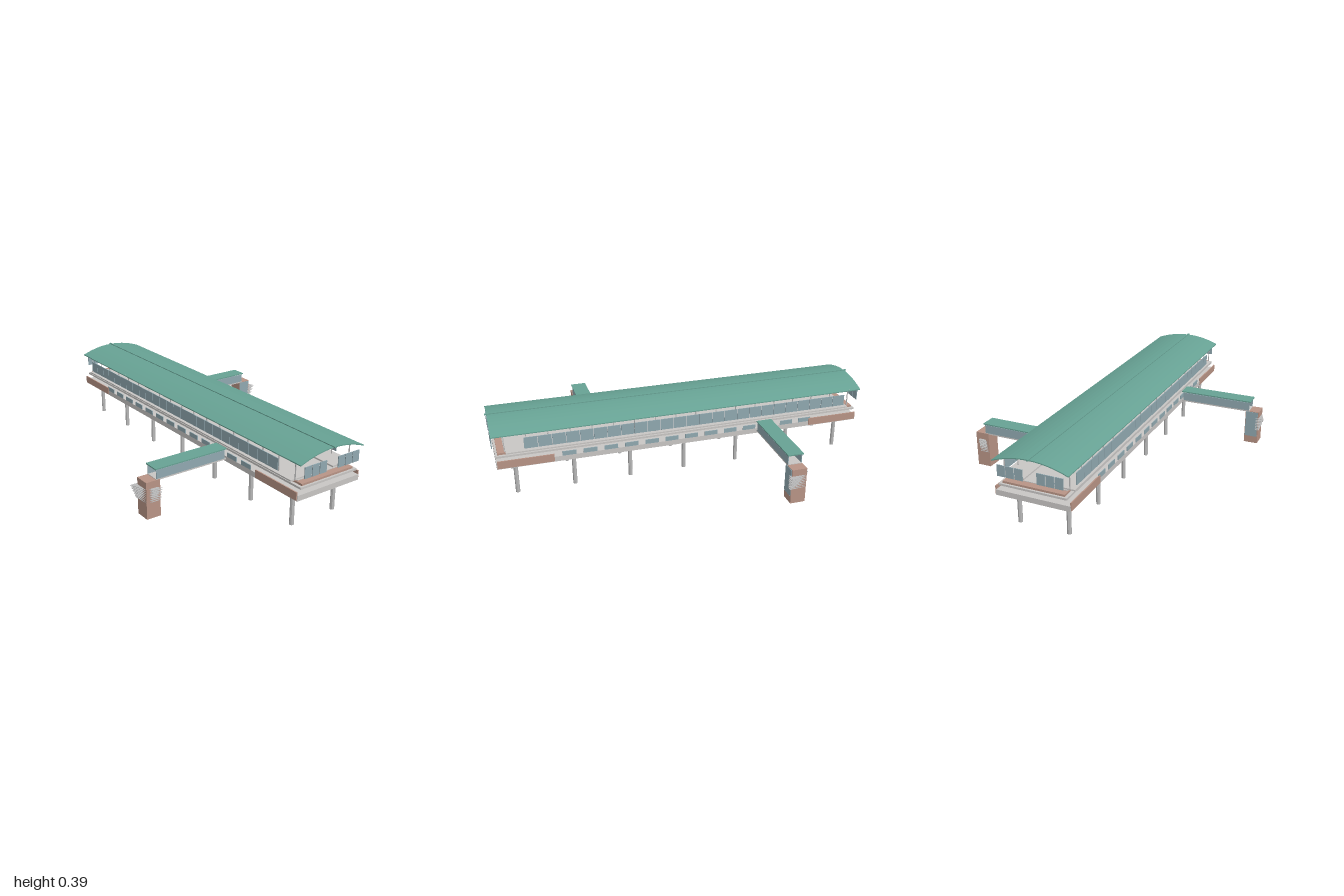
import * as THREE from 'three';

const mat = (name, color) => {
  const m = new THREE.MeshStandardMaterial({ color, side: THREE.DoubleSide, flatShading: true });
  m.name = name;
  return m;
};

export function createModel() {
  const model = new THREE.Group();
  model.name = 'elevatedStation';
  const green = mat('roofGreen', 0x67a294);
  const concrete = mat('concrete', 0xc8c6c4);
  const steel = mat('columnGrey', 0xb9b9b9);
  const brick = mat('brick', 0xb89486);
  const glass = mat('glass', 0x90a8b0);

  // Box given by its min and max corners
  const box = (parent, name, m, x0, x1, y0, y1, z0, z1) => {
    const mesh = new THREE.Mesh(new THREE.BoxGeometry(x1 - x0, y1 - y0, z1 - z0), m);
    mesh.position.set((x0 + x1) / 2, (y0 + y1) / 2, (z0 + z1) / 2);
    mesh.name = name;
    parent.add(mesh);
    return mesh;
  };
  // Thin bar between two points in the x-y plane
  const strut = (parent, name, m, x0, y0, x1, y1, z) => {
    const mesh = new THREE.Mesh(new THREE.BoxGeometry(Math.hypot(x1 - x0, y1 - y0), 0.003, 0.003), m);
    mesh.position.set((x0 + x1) / 2, (y0 + y1) / 2, z);
    mesh.rotation.z = Math.atan2(y1 - y0, x1 - x0);
    mesh.name = name;
    parent.add(mesh);
  };

  // Arched roof shell
  const roofY = (x) => 0.39 - 0.038 * (x / 0.19) ** 2;
  const section = new THREE.Shape();
  const steps = 14;
  for (let i = 0; i <= steps; i++) {
    const x = -0.19 + (0.38 * i) / steps;
    if (i) section.lineTo(x, roofY(x));
    else section.moveTo(x, roofY(x));
  }
  for (let i = steps; i >= 0; i--) {
    const x = -0.19 + (0.38 * i) / steps;
    section.lineTo(x, roofY(x) - 0.005);
  }
  const roof = new THREE.Mesh(new THREE.ExtrudeGeometry(section, { depth: 1.98, bevelEnabled: false }), green);
  roof.position.z = -0.99;
  roof.name = 'archedRoof';
  model.add(roof);
  box(model, 'roofRidge', green, -0.004, 0.004, 0.388, 0.394, -1, 1);

  // Roof frames: posts, tie beam and struts
  const frames = new THREE.Group();
  frames.name = 'roofFrames';
  model.add(frames);
  for (let i = 0; i < 18; i++) {
    const z = -0.93 + i * (1.86 / 17);
    box(frames, 'tieBeam', steel, -0.185, 0.185, 0.35, 0.354, z - 0.002, z + 0.002);
    for (const s of [-1, 1]) {
      box(frames, 'post', steel, s * 0.163 - 0.002, s * 0.163 + 0.002, 0.253, roofY(0.163) - 0.003, z - 0.002, z + 0.002);
      strut(frames, 'strut', steel, s * 0.1, 0.352, s * 0.11, 0.375, z);
      strut(frames, 'strut', steel, s * 0.045, 0.352, s * 0.052, 0.384, z);
    }
  }

  // Lower deck, track slab and side platforms
  box(model, 'lowerDeck', concrete, -0.187, 0.187, 0.173, 0.2, -0.975, 0.975);
  box(model, 'upperSlab', concrete, -0.17, 0.17, 0.225, 0.235, -0.975, 0.975);
  box(model, 'trackBed', brick, -0.155, 0.155, 0.235, 0.245, -0.965, 0.965);
  box(model, 'trackFloor', concrete, -0.15, 0.15, 0.245, 0.248, -0.93, 0.93);
  for (const s of [-1, 1]) {
    const p = box(model, 'sidePlatform', concrete, -0.0575, 0.0575, 0.248, 0.255, -0.925, 0.925);
    p.position.x = s * 0.127;
  }

  for (const s of [-1, 1]) {
    // Platform windows along the sides
    const pitch = 1.738 / 25;
    for (let i = 0; i < 25; i++) {
      const z = 0.834 - i * pitch;
      box(model, 'sideWindow', glass, s * 0.18 - 0.002, s * 0.18 + 0.002, 0.266, 0.325, z - pitch + 0.003, z);
    }
    // Small windows of the lower level
    for (let i = 0; i < 13; i++) {
      const z = 0.652 - i * 0.107;
      box(model, 'smallWindow', glass, s * 0.185 - 0.002, s * 0.185 + 0.002, 0.2, 0.223, z - 0.07, z);
    }
    // Brick parapets at both ends
    for (const e of [-1, 1]) {
      const p = box(model, 'brickParapet', brick, -0.003, 0.003, 0.177, 0.217, -0.14, 0.14);
      p.position.x = s * 0.188;
      p.position.z = e * 0.832;
      // Glass screens under the roof ends
      for (let i = 0; i < 3; i++) {
        const w = box(model, 'endWindow', glass, -0.02, 0.02, 0.28, 0.335, -0.002, 0.002);
        w.position.x = s * (0.055 + i * 0.0445);
        w.position.z = e * 0.988;
      }
    }
  }

  // Columns with cross beams
  for (let i = -3; i <= 3; i++) {
    const z = i * 0.294;
    box(model, 'crossBeam', steel, -0.165, 0.165, 0.162, 0.173, z - 0.01, z + 0.01);
    for (const s of [-1, 1]) {
      const c = new THREE.Mesh(new THREE.CylinderGeometry(0.011, 0.011, 0.163, 8), steel);
      c.position.set(s * 0.127, 0.0815, z);
      c.name = 'column';
      model.add(c);
    }
  }

  // Horizontal triangular plate
  const plate = (parent, pts, y) => {
    const shape = new THREE.Shape(pts.map(([x, z]) => new THREE.Vector2(x, -z)));
    const mesh = new THREE.Mesh(new THREE.ExtrudeGeometry(shape, { depth: 0.002, bevelEnabled: false }), steel);
    mesh.rotation.x = -Math.PI / 2;
    mesh.position.y = y;
    mesh.name = 'louvre';
    parent.add(mesh);
  };

  // Footbridge with entrance tower, repeated by a half turn
  for (let k = 0; k < 2; k++) {
    const bridge = new THREE.Group();
    bridge.name = 'footbridge';
    bridge.rotation.y = k * Math.PI;
    model.add(bridge);
    box(bridge, 'bridgeFloor', concrete, 0.187, 0.585, 0.183, 0.19, -0.465, -0.39);
    box(bridge, 'bridgeRoof', green, 0.187, 0.59, 0.238, 0.244, -0.47, -0.387);
    for (const z of [-0.463, -0.392]) {
      box(bridge, 'bridgeGlass', glass, 0.195, 0.583, 0.19, 0.234, z - 0.002, z + 0.002);
    }
    box(bridge, 'tower', brick, 0.565, 0.64, 0, 0.187, -0.468, -0.39);
    box(bridge, 'towerGlass', glass, 0.568, 0.635, 0.04, 0.184, -0.391, -0.387);
    for (let i = 0; i < 8; i++) {
      const t = 1 - i * 0.11;
      const y = 0.15 - i * 0.0095;
      plate(bridge, [[0.64, -0.465], [0.64 + 0.032 * t, -0.38], [0.625, -0.38]], y);
      plate(bridge, [[0.565, -0.468 - 0.019 * t], [0.615, -0.468 - 0.019 * t], [0.625, -0.465], [0.59, -0.465]], y);
    }
  }
  return model;
}
